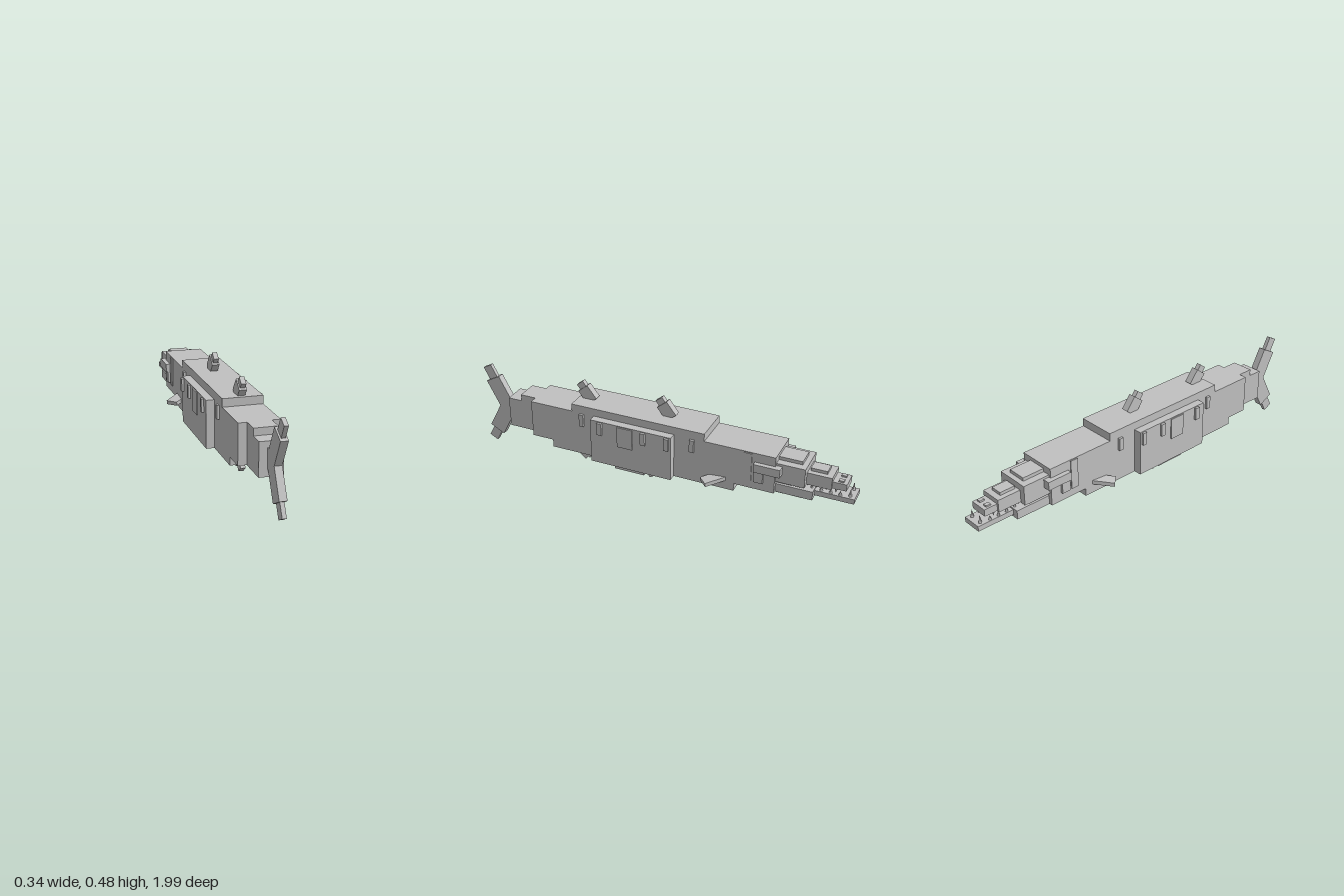
import * as THREE from 'three';

export function createModel() {
  const fish = new THREE.Group();
  fish.name = 'blockFish';
  const skin = new THREE.MeshStandardMaterial({ color: 0xc0c0c0 });
  skin.name = 'plain grey';

  const add = (name, geometry, parent = fish) => {
    const mesh = new THREE.Mesh(geometry, skin);
    mesh.name = name;
    parent.add(mesh);
    return mesh;
  };
  // Box from its limits on each axis
  const block = (name, x0, x1, y0, y1, z0, z1) => {
    const mesh = add(name, new THREE.BoxGeometry(x1 - x0, y1 - y0, z1 - z0));
    mesh.position.set((x0 + x1) / 2, (y0 + y1) / 2, (z0 + z1) / 2);
    return mesh;
  };
  // Box centred on x
  const mid = (name, half, ...limits) => block(name, -half, half, ...limits);
  // The same box on both sides
  const pair = (name, x0, x1, ...limits) => {
    block(name + 'Left', x0, x1, ...limits);
    block(name + 'Right', -x1, -x0, ...limits);
  };
  // Fin of stacked segments [length, depth, width], leaning towards the tail
  const fin = (name, x, y, z, degrees, segments) => {
    const group = new THREE.Group();
    group.name = name;
    group.position.set(x, y, z);
    group.rotation.x = THREE.MathUtils.degToRad(degrees);
    let start = 0;
    for (const [length, depth, width] of segments) {
      add(name + 'Segment', new THREE.BoxGeometry(width, length, depth), group).position.y = start + length / 2;
      start += length;
    }
    fish.add(group);
  };

  // Body
  mid('body', 0.097, 0.145, 0.34, -0.63, 0.665);
  mid('wideBody', 0.137, 0.105, 0.34, -0.12, 0.31);
  mid('backRidge', 0.097, 0.34, 0.38, -0.275, 0.432);
  mid('keel', 0.097, 0.105, 0.145, -0.43, 0.55);
  mid('belly', 0.097, 0.065, 0.105, 0.04, 0.2);
  mid('tailRoot', 0.056, 0.145, 0.305, 0.665, 0.823);
  mid('tailRootRidge', 0.056, 0.305, 0.34, 0.665, 0.748);

  // Side slats: [z start, z end, bottom, inner x, outer x]
  for (const [z0, z1, bottom, x0, x1] of [
    [0.365, 0.388, 0.27, 0.09, 0.109], [0.245, 0.27, 0.27, 0.13, 0.149],
    [0.082, 0.163, 0.225, 0.13, 0.143], [0.012, 0.036, 0.27, 0.13, 0.149],
    [-0.11, -0.087, 0.27, 0.13, 0.149], [-0.225, -0.202, 0.27, 0.09, 0.109],
  ]) pair('sideSlat', x0, x1, bottom, 0.335, z0, z1);
  pair('gill', 0.09, 0.102, 0.185, 0.335, -0.515, -0.475);

  // Tail fin
  mid('tailHub', 0.018, 0.18, 0.275, 0.8, 0.9);
  const tail = [[0.165, 0.085, 0.036], [0.07, 0.05, 0.02]];
  fin('upperTailFin', 0, 0.227, 0.86, 28, tail);
  fin('lowerTailFin', 0, 0.219, 0.86, 152, tail);

  // Fins along the back and belly
  const small = [[0.08, 0.065, 0.036], [0.03, 0.042, 0.024]];
  fin('rearDorsalFin', 0, 0.37, 0.36, 38, small);
  fin('frontDorsalFin', 0, 0.376, -0.07, 38, small);
  fin('analFin', 0, 0.117, 0.36, 142, small);
  for (const side of [-1, 1]) {
    fin('pelvicFin', side * 0.064, 0.11, -0.055, 122, [[0.085, 0.02, 0.05]]);
    // Pectoral fins sweep back from the body
    const pectoral = add('pectoralFin', new THREE.BoxGeometry(0.06, 0.02, 0.12));
    pectoral.position.set(side * 0.108, 0.156, -0.335);
    pectoral.rotation.set(0.12, side * Math.PI / 4, 0, 'YXZ');
  }

  // Head and upper jaw
  mid('headBack', 0.085, 0.205, 0.305, -0.77, -0.63);
  mid('forehead', 0.048, 0.305, 0.322, -0.745, -0.63);
  mid('muzzle', 0.055, 0.21, 0.273, -0.89, -0.77);
  mid('muzzleRidge', 0.03, 0.273, 0.288, -0.86, -0.78);
  mid('snout', 0.045, 0.215, 0.25, -0.958, -0.89);
  pair('nostril', 0.014, 0.034, 0.25, 0.258, -0.94, -0.915);
  pair('cheek', 0.08, 0.12, 0.25, 0.293, -0.66, -0.53);
  pair('cheekCorner', 0.08, 0.11, 0.19, 0.25, -0.575, -0.53);

  // Lower jaw
  mid('mouth', 0.065, 0.17, 0.21, -0.7, -0.62);
  mid('jawBack', 0.078, 0.145, 0.19, -0.81, -0.63);
  mid('chin', 0.06, 0.132, 0.15, -0.76, -0.62);
  mid('jawFront', 0.05, 0.158, 0.184, -1, -0.8);

  // Teeth along both jaws
  const tooth = (x, y, z, height) => {
    const mesh = add('tooth', new THREE.ConeGeometry(0.009, Math.abs(height), 4));
    mesh.position.set(x, y + height / 2, z);
    if (height < 0) mesh.rotation.x = Math.PI;
  };
  for (const side of [-1, 1]) {
    tooth(side * 0.03, 0.184, -0.975, 0.042);
    for (let i = 0; i < 5; i++) {
      const z = -0.93 + i * 0.045;
      tooth(side * 0.04, 0.184, z, 0.024);
      tooth(side * 0.038, 0.216, z + 0.022, -0.022);
    }
  }
  return fish;
}
